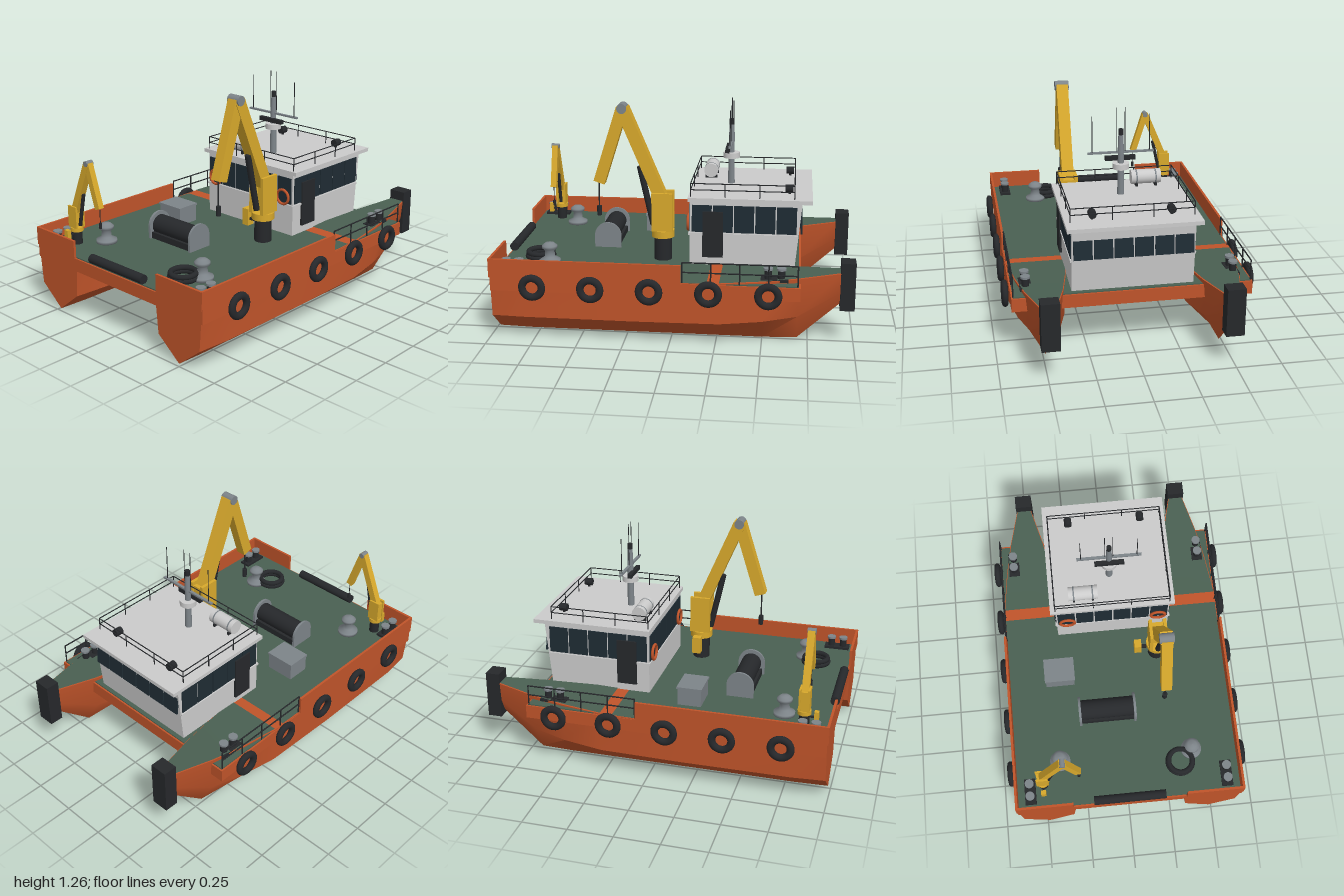
import * as THREE from 'three';
import { toCreasedNormals } from 'three/addons/utils/BufferGeometryUtils.js';

const mat = (color, side = THREE.FrontSide) => new THREE.MeshStandardMaterial({ color, side });
const ORANGE = mat(0xc0542a, THREE.DoubleSide), GREEN = mat(0x4a6052, THREE.DoubleSide), YELLOW = mat(0xd8a92c);
const BLACK = mat(0x26282b), GLASS = mat(0x1f2c34), STEEL = mat(0x7d8489), WHITE = mat(0xcccccc);
const DECK = 0.36;

function add(parent, name, geo, material, x = 0, y = 0, z = 0) {
  const m = new THREE.Mesh(geo, material);
  m.name = name;
  m.position.set(x, y, z);
  parent.add(m);
  return m;
}
const box = (p, name, m, w, h, d, x, y, z) => add(p, name, new THREE.BoxGeometry(w, h, d), m, x, y, z);
const cyl = (p, name, m, r, h, x, y, z, r2 = r, n = 20) =>
  add(p, name, new THREE.CylinderGeometry(r2, r, h, n), m, x, y, z);

// Round bar between two points
function bar(p, name, m, r, a, b) {
  const A = new THREE.Vector3(...a), B = new THREE.Vector3(...b), d = B.clone().sub(A);
  const c = cyl(p, name, m, r, d.length(), 0, 0, 0, r, 8);
  c.position.copy(A).add(B).multiplyScalar(0.5);
  c.quaternion.setFromUnitVectors(new THREE.Vector3(0, 1, 0), d.normalize());
  return c;
}

// Rectangular beam between two (z, y) points in the crane plane
function beam(p, name, m, w, t, [z1, y1], [z2, y2]) {
  const b = box(p, name, m, w, Math.hypot(z2 - z1, y2 - y1), t, 0, (y1 + y2) / 2, (z1 + z2) / 2);
  b.rotation.x = Math.atan2(z2 - z1, y2 - y1);
  return b;
}

// Hull stations: z, half width at deck, half width at chine, chine y, keel y, deck y
const STATIONS = [
  [0.985, 0.17, 0.15, 0.125, 0.005, 0.355], [0.8, 0.175, 0.172, 0.13, 0, 0.355],
  [0.2, 0.175, 0.175, 0.13, 0, 0.355], [-0.27, 0.17, 0.165, 0.13, 0, 0.362],
  [-0.5, 0.14, 0.13, 0.14, 0, 0.37], [-0.69, 0.105, 0.085, 0.16, 0.005, 0.382],
  [-0.92, 0.045, 0.035, 0.29, 0.215, 0.4],
];

function hullGeometry() {
  const pos = [], idx = [], n = 5;
  for (const [z, w, c, cy, ky, ty] of STATIONS)
    pos.push(w, ty, z, c, cy, z, 0, ky, z, -c, cy, z, -w, ty, z);
  for (let s = 0; s < STATIONS.length - 1; s++)
    for (let i = 0; i < n; i++) {
      const a = s * n + i, b = s * n + (i + 1) % n;
      idx.push(a, b, a + n, b, b + n, a + n);
    }
  const e = (STATIONS.length - 1) * n;
  for (let i = 1; i < n - 1; i++) idx.push(0, i + 1, i, e, e + i, e + i + 1);
  const g = new THREE.BufferGeometry();
  g.setAttribute('position', new THREE.Float32BufferAttribute(pos, 3));
  g.setIndex(idx.reverse());
  return toCreasedNormals(g, 0.5);
}

// Deck strip that follows the top of the hull
function foredeckGeometry() {
  const pos = [], idx = [], st = STATIONS.slice(3);
  for (const [z, w, , , , ty] of st) pos.push(-w + 0.004, ty + 0.004, z, w - 0.004, ty + 0.004, z);
  for (let i = 0; i < st.length - 1; i++) {
    const a = i * 2;
    idx.push(a, a + 1, a + 2, a + 1, a + 3, a + 2);
  }
  const g = new THREE.BufferGeometry();
  g.setAttribute('position', new THREE.Float32BufferAttribute(pos, 3));
  g.setIndex(idx);
  g.computeVertexNormals();
  return g;
}

// Railing through a list of [x, z] points
function railing(p, name, pts, y0, heights, r, gap) {
  const g = new THREE.Group();
  g.name = name;
  p.add(g);
  const top = Math.max(...heights);
  for (let i = 0; i < pts.length - 1; i++) {
    const [x1, z1] = pts[i], [x2, z2] = pts[i + 1];
    for (const h of heights) bar(g, 'rail', BLACK, r, [x1, y0 + h, z1], [x2, y0 + h, z2]);
    const n = Math.round(Math.hypot(x2 - x1, z2 - z1) / gap);
    for (let k = 0; k <= n; k++)
      cyl(g, 'railPost', BLACK, r, top, x1 + (x2 - x1) * k / n, y0 + top / 2, z1 + (z2 - z1) * k / n, r, 6);
  }
}

// Knuckle-boom crane standing at the origin, reaching toward +z
function crane(name) {
  const g = new THREE.Group();
  g.name = name;
  cyl(g, 'pedestal', BLACK, 0.05, 0.15, 0, 0.07, 0);
  cyl(g, 'slewRing', YELLOW, 0.065, 0.04, 0, 0.155, 0);
  for (const s of [-1, 1]) box(g, 'towerCheek', YELLOW, 0.02, 0.22, 0.12, s * 0.042, 0.285, 0);
  box(g, 'towerCore', YELLOW, 0.07, 0.2, 0.06, 0, 0.27, -0.02);
  beam(g, 'boom', YELLOW, 0.068, 0.07, [0, 0.34], [0.225, 0.87]);
  beam(g, 'jib', YELLOW, 0.06, 0.065, [0.225, 0.87], [0.36, 0.445]);
  bar(g, 'liftCylinder', BLACK, 0.018, [0, 0.2, 0.055], [0, 0.54, 0.13]);
  const pin = cyl(g, 'knucklePin', STEEL, 0.028, 0.08, 0, 0.87, 0.225);
  pin.rotation.z = Math.PI / 2;
  bar(g, 'hoistLine', BLACK, 0.004, [0, 0.46, 0.365], [0, 0.3, 0.365]);
  cyl(g, 'hookBlock', BLACK, 0.014, 0.055, 0, 0.275, 0.365);
  box(g, 'controlBox', YELLOW, 0.042, 0.1, 0.05, -0.115, 0.12, 0);
  box(g, 'controlBracket', BLACK, 0.08, 0.015, 0.02, -0.07, 0.11, 0);
  return g;
}

function wheelhouse(root) {
  const g = new THREE.Group();
  g.name = 'wheelhouse';
  root.add(g);
  // Walls, with the bow face raked outward
  const walls = new THREE.BoxGeometry(0.67, 0.375, 0.59), p = walls.attributes.position;
  for (let i = 0; i < p.count; i++) if (p.getZ(i) < 0 && p.getY(i) > 0) p.setZ(i, p.getZ(i) - 0.035);
  walls.computeVertexNormals();
  add(g, 'walls', walls, WHITE, 0, 0.5475, -0.375);
  box(g, 'kneeMoulding', WHITE, 0.685, 0.012, 0.61, 0, 0.54, -0.378);
  box(g, 'roof', WHITE, 0.73, 0.022, 0.69, 0, 0.743, -0.415);
  for (let i = 0; i < 6; i++) {
    const x = (i - 2.5) * 0.11;
    box(g, 'aftWindow', GLASS, 0.102, 0.155, 0.01, x, 0.63, -0.08);
    box(g, 'bowWindow', GLASS, 0.102, 0.155, 0.01, x, 0.63, -0.696).rotation.x = 0.093;
  }
  for (const s of [-1, 1]) {
    for (let i = 0; i < 5; i++) box(g, 'sideWindow', GLASS, 0.01, 0.155, 0.111, s * 0.335, 0.63, -0.148 - i * 0.118);
    box(g, 'door', BLACK, 0.016, 0.265, 0.115, s * 0.34, 0.54, -0.21);
    add(g, 'lifebuoy', new THREE.TorusGeometry(0.043, 0.008, 10, 28), ORANGE, s * 0.27, 0.59, -0.067);
    // Searchlights
    cyl(g, 'searchlightPost', BLACK, 0.007, 0.03, s * 0.215, 0.765, -0.63);
    cyl(g, 'searchlight', BLACK, 0.022, 0.045, s * 0.215, 0.785, -0.63).rotation.x = Math.PI / 2;
  }
  railing(g, 'roofRailing', [[-0.335, -0.085], [0.335, -0.085], [0.335, -0.66], [-0.335, -0.66], [-0.335, -0.085]],
    0.754, [0.04, 0.076], 0.003, 0.2);
  // Life raft canister on its cradle
  const raft = cyl(g, 'lifeRaft', WHITE, 0.041, 0.17, -0.165, 0.803, -0.165);
  raft.rotation.z = Math.PI / 2;
  for (const x of [-0.22, -0.11]) {
    box(g, 'raftCradle', BLACK, 0.012, 0.02, 0.07, x, 0.762, -0.165);
    cyl(g, 'raftStrap', STEEL, 0.042, 0.008, x, 0.803, -0.165).rotation.z = Math.PI / 2;
  }

  // Mast with radar and antennas
  const m = new THREE.Group();
  m.name = 'mast';
  m.position.set(0, 0.75, -0.29);
  g.add(m);
  cyl(m, 'mastPole', STEEL, 0.02, 0.27, 0, 0.135, 0, 0.016);
  cyl(m, 'mastCollar', WHITE, 0.047, 0.032, 0, 0.172, 0);
  box(m, 'radarScanner', BLACK, 0.17, 0.024, 0.024, 0, 0.21, 0.02);
  box(m, 'yard', STEEL, 0.37, 0.01, 0.016, 0, 0.25, 0);
  cyl(m, 'topMast', STEEL, 0.018, 0.1, 0, 0.3, 0, 0.014);
  cyl(m, 'mastLight', BLACK, 0.014, 0.035, 0, 0.365, 0);
  for (const s of [-1, 1]) {
    cyl(m, 'yardAntenna', BLACK, 0.003, 0.21, s * 0.16, 0.355, 0, 0.002, 6);
    cyl(m, 'whipAntenna', BLACK, 0.002, 0.25, s * 0.023, 0.38, 0, 0.002, 6);
  }
}

export function createModel() {
  const root = new THREE.Group();
  root.name = 'catamaranWorkboat';

  // Bridge deck joining the hulls
  box(root, 'bridgeDeck', ORANGE, 1.32, 0.075, 1.69, 0, 0.3175, 0.14);
  box(root, 'deckPlate', GREEN, 1.3, 0.008, 1.67, 0, 0.357, 0.14);

  const hull = hullGeometry(), foredeck = foredeckGeometry();
  const capstan = new THREE.LatheGeometry([[0, 0], [0.06, 0], [0.06, 0.018], [0.03, 0.035], [0.026, 0.07],
    [0.043, 0.085], [0.043, 0.1], [0.025, 0.115], [0, 0.118]].map(a => new THREE.Vector2(...a)), 24);

  for (const s of [-1, 1]) {
    add(root, 'hull', hull, ORANGE, s * 0.485);
    add(root, 'foredeck', foredeck, GREEN, s * 0.485);
    box(root, 'bowFender', BLACK, 0.1, 0.27, 0.08, s * 0.485, 0.325, -0.96);
    // Bulwarks
    box(root, 'sideBulwark', ORANGE, 0.014, 0.105, 1.055, s * 0.656, 0.4075, 0.4625);
    box(root, 'sternBulwark', ORANGE, 0.33, 0.105, 0.014, s * 0.495, 0.4075, 0.985);
    // Tyre fenders
    for (let i = 0; i < 5; i++) {
      const t = add(root, 'tyreFender', new THREE.TorusGeometry(0.054, 0.021, 12, 28), BLACK, s * 0.684, 0.312, 0.745 - i * 0.32);
      t.rotation.y = Math.PI / 2;
      t.scale.z = 0.85;
    }
    // Twin bollards fore and aft
    for (const z of [0.875, -0.565]) {
      box(root, 'bollardBase', BLACK, 0.065, 0.014, 0.15, s * 0.575, DECK + 0.012, z);
      for (const d of [-0.036, 0.036]) {
        cyl(root, 'bollard', BLACK, 0.02, 0.06, s * 0.575, DECK + 0.04, z + d);
        cyl(root, 'bollardCap', STEEL, 0.026, 0.012, s * 0.575, DECK + 0.072, z + d);
      }
    }
    add(root, 'capstan', capstan, STEEL, s * 0.387, DECK, 0.71);
    railing(root, 'sideRailing', [[s * 0.65, -0.07], [s * 0.65, -0.69]], DECK, [0.06, 0.115], 0.004, 0.155);
  }

  wheelhouse(root);

  // Stern roller
  cyl(root, 'sternRoller', BLACK, 0.026, 0.42, 0, 0.385, 0.965).rotation.z = Math.PI / 2;

  // Towing winch with arched end plates
  cyl(root, 'winchDrum', BLACK, 0.058, 0.31, -0.083, 0.432, 0.43).rotation.z = Math.PI / 2;
  box(root, 'winchBase', BLACK, 0.32, 0.04, 0.13, -0.083, 0.378, 0.43);
  const plate = new THREE.Shape();
  plate.moveTo(-0.078, 0);
  plate.lineTo(0.078, 0);
  plate.lineTo(0.078, 0.073);
  plate.absarc(0, 0.073, 0.078, 0, Math.PI);
  const plateGeo = new THREE.ExtrudeGeometry(plate, { depth: 0.014, bevelEnabled: false, curveSegments: 20 });
  for (const x of [-0.252, 0.072]) add(root, 'winchPlate', plateGeo, STEEL, x, DECK, 0.43).rotation.y = Math.PI / 2;

  // Deck locker and coiled hawser
  box(root, 'deckLocker', STEEL, 0.17, 0.1, 0.135, -0.347, 0.41, 0.18);
  box(root, 'lockerLid', STEEL, 0.18, 0.012, 0.145, -0.347, 0.464, 0.18);
  for (let i = 0; i < 2; i++)
    add(root, 'hawserCoil', new THREE.TorusGeometry(0.073 - i * 0.004, 0.015, 10, 32), BLACK, 0.315, 0.376 + i * 0.022, 0.78)
      .rotation.x = Math.PI / 2;

  // Main crane and its smaller twin at the stern corner
  const main = crane('mainCrane');
  main.position.set(0.25, DECK, 0.08);
  const small = crane('smallCrane');
  small.position.set(-0.495, DECK, 0.835);
  small.rotation.y = Math.PI / 2;
  small.scale.setScalar(0.58);
  root.add(main, small);
  return root;
}
